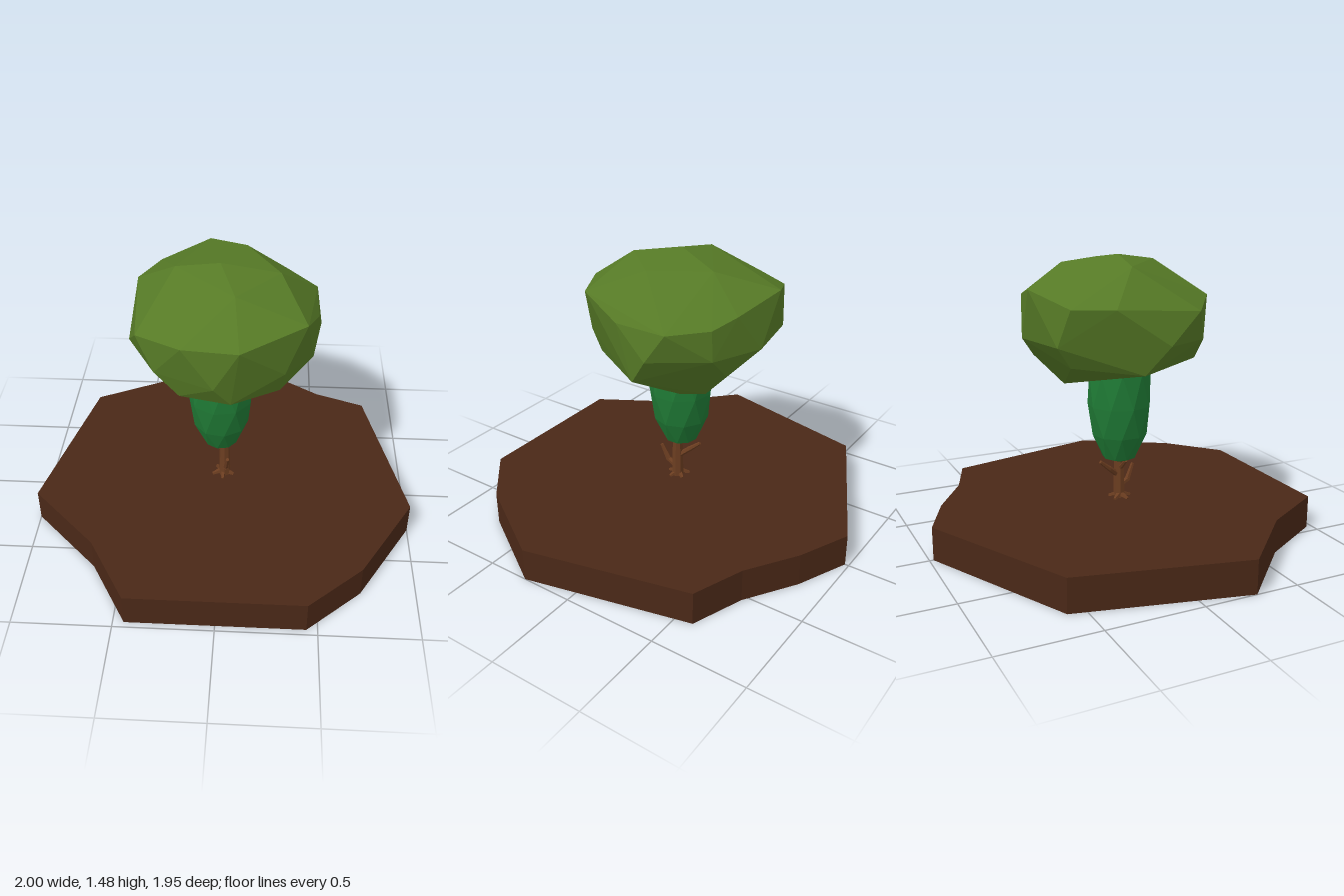
import * as THREE from 'three';
import { ConvexGeometry } from 'three/addons/geometries/ConvexGeometry.js';

const material = (color) => new THREE.MeshStandardMaterial({ color, flatShading: true });
const vec = (p) => new THREE.Vector3(...p);

export function createModel() {
  const model = new THREE.Group();
  model.name = 'treeOnGround';
  const soil = material(0x4a2817), bark = material(0x6b3d20);
  const leaf = material(0x567a26), darkLeaf = material(0x1f7a35);

  const add = (name, geometry, mat, parent = model) => {
    const mesh = new THREE.Mesh(geometry, mat);
    mesh.name = name;
    parent.add(mesh);
    return mesh;
  };

  // Irregular slab of ground, outline as [x, z]
  const outline = [
    [0, -0.98], [0.27, -0.86], [0.53, -0.69], [0.8, -0.59], [1, 0.275], [0.72, 0.73],
    [0.445, 0.97], [-0.445, 0.97], [-0.65, 0.62], [-1, 0.275], [-0.8, -0.59],
  ].map(([x, z]) => new THREE.Vector2(x, -z));
  const slab = new THREE.ExtrudeGeometry(new THREE.Shape(outline), { depth: 0.175, bevelEnabled: false });
  add('ground', slab.rotateX(-Math.PI / 2), soil);

  // Trunk, branches and roots: tapered limbs between two points
  const wood = new THREE.Group();
  wood.name = 'trunkAndBranches';
  model.add(wood);
  const limb = (name, from, to, r0, r1, sides = 6) => {
    const a = vec(from), b = vec(to), dir = b.clone().sub(a);
    const mesh = add(name, new THREE.CylinderGeometry(r1, r0, dir.length(), sides), bark, wood);
    mesh.position.copy(a).add(b).multiplyScalar(0.5);
    mesh.quaternion.setFromUnitVectors(new THREE.Vector3(0, 1, 0), dir.normalize());
  };
  limb('trunk', [0, 0.17, 0.05], [0, 0.45, 0.05], 0.032, 0.026, 7);
  limb('frontBranchLower', [0.01, 0.235, 0.06], [0.01, 0.265, 0.11], 0.015, 0.015);
  limb('frontBranchUpper', [0.01, 0.255, 0.1], [0.02, 0.345, 0.14], 0.016, 0.01);
  limb('backBranchLower', [0, 0.3, 0.04], [-0.02, 0.35, -0.02], 0.015, 0.014);
  limb('backBranchUpper', [-0.02, 0.345, -0.015], [-0.03, 0.395, -0.075], 0.014, 0.009);
  limb('sideBranch', [0, 0.33, 0.05], [-0.08, 0.4, 0.05], 0.014, 0.009);
  for (let i = 0; i < 5; i++) {
    const a = (i / 5) * Math.PI * 2 + 0.3;
    const at = (r) => [-0.008 + r * Math.cos(a), 0.05 + r * Math.sin(a)];
    const [x0, z0] = at(0.015), [x1, z1] = at(0.06);
    limb('root', [x0, 0.19, z0], [x1, 0.178, z1], 0.016, 0.008, 5);
  }

  // Inner foliage: faceted bulb, alternate rings twisted by half a step
  const rings = [[0.39, 0.035], [0.41, 0.088], [0.54, 0.145], [0.7, 0.168], [0.88, 0.162], [1, 0.12]];
  const bulb = [];
  rings.forEach(([y, r], k) => {
    for (let i = 0; i < 9; i++) {
      const a = ((i + (k % 2) / 2) / 9) * Math.PI * 2;
      bulb.push(vec([-0.02 + r * Math.cos(a), y, 0.04 + r * Math.sin(a)]));
    }
  });
  add('innerFoliage', new ConvexGeometry(bulb), darkLeaf);

  // Faceted crown, corners from top to underside
  const crown = [
    [-0.02, 1.48, 0.03], [0.06, 1.44, 0.27], [0.27, 1.44, 0.04], [0.1, 1.44, -0.23], [-0.24, 1.44, 0],
    [0.09, 1.28, 0.5], [0.4, 1.32, 0.31], [0.46, 1.23, 0.08], [0.46, 1.23, -0.2], [0.31, 1.24, -0.36],
    [0.18, 1.28, -0.42], [-0.1, 1.34, -0.485], [-0.35, 1.27, -0.37], [-0.45, 1.27, -0.18],
    [-0.41, 1.23, 0.29], [-0.18, 1.27, 0.46],
    [-0.03, 1.07, 0.49], [0.3, 1.08, 0.36], [0.485, 1.08, -0.1], [0.3, 1.08, -0.36], [0.04, 1.08, -0.47],
    [-0.28, 1.08, -0.41], [-0.47, 1.08, 0.1], [-0.32, 1.07, 0.36],
    [-0.2, 0.95, 0.38], [0.05, 0.96, 0.45], [0.28, 0.96, 0.32], [0.45, 0.94, 0], [0.18, 0.96, -0.36],
    [-0.25, 0.97, -0.33], [-0.43, 0.94, -0.02],
    [0.2, 0.8, -0.1], [0.13, 0.8, -0.21], [-0.11, 0.865, 0.1],
  ];
  add('crown', new ConvexGeometry(crown.map(vec)), leaf);

  return model;
}
